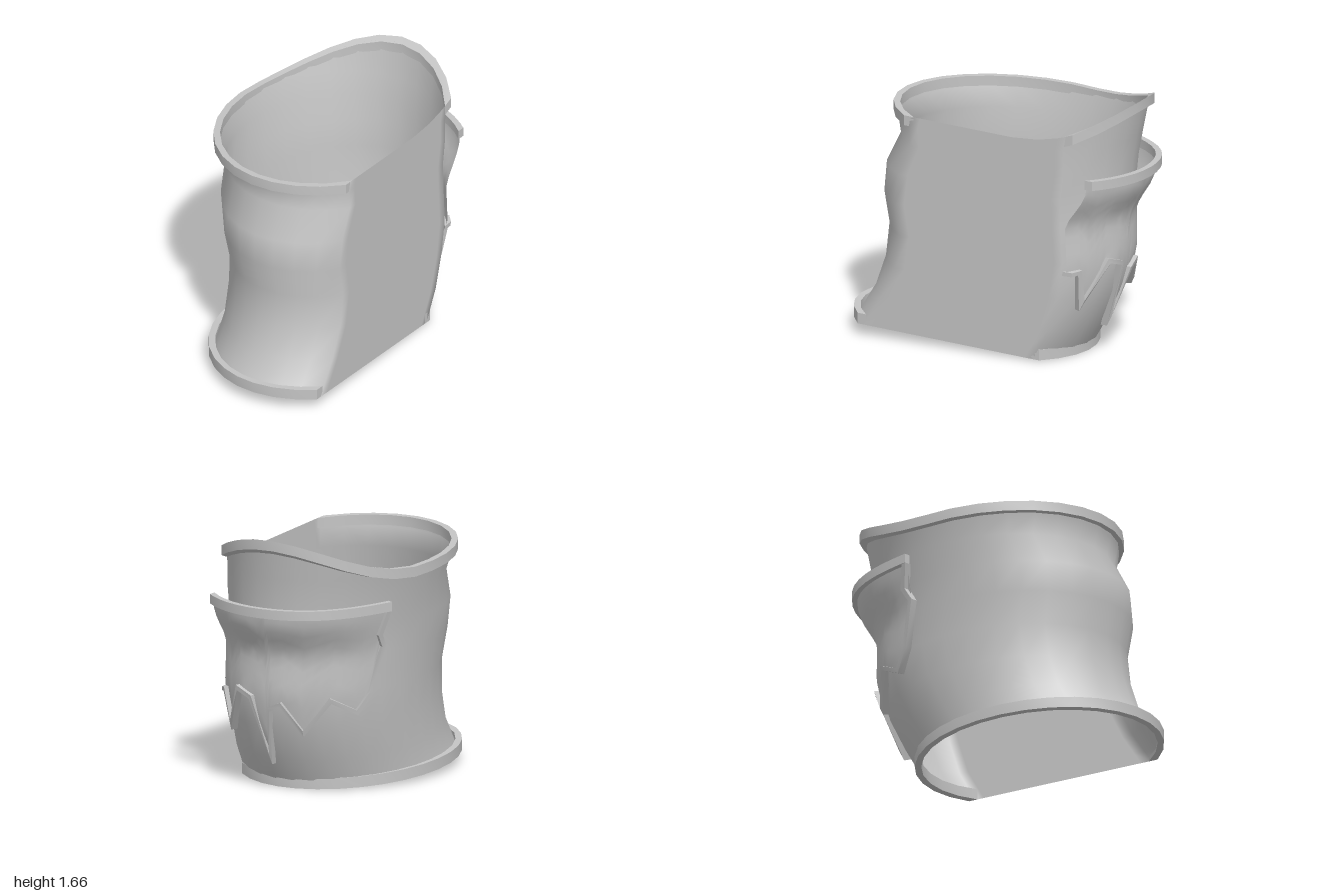
import * as THREE from 'three';
import { toCreasedNormals } from 'three/addons/utils/BufferGeometryUtils.js';

const CUT = 0.6; // plane of the flat side wall
const { lerp, smoothstep, clamp } = THREE.MathUtils;

// Body sections: front y, front z, back y, back z, left x, centre x
const ROWS = [
  [0.08, 0.97, 0.0, -0.58, -0.43, 0.2],
  [0.15, 0.93, 0.07, -0.62, -0.425, 0.2],
  [0.28, 0.85, 0.2, -0.69, -0.42, 0.2],
  [0.48, 0.79, 0.42, -0.79, -0.43, 0.18],
  [0.70, 0.77, 0.65, -0.84, -0.445, 0.17],
  [0.90, 0.81, 0.9, -0.83, -0.47, 0.16],
  [1.10, 0.80, 1.08, -0.84, -0.50, 0.14],
  [1.30, 0.70, 1.25, -0.85, -0.525, 0.13],
  [1.42, 0.73, 1.40, -0.87, -0.56, 0.11],
  [1.50, 0.735, 1.65, -0.91, -0.57, 0.1],
];
const TOP = ROWS[ROWS.length - 1];

// Height of the upper edge: nearly level, sweeping up to a peak at the back
function topY(z) {
  if (z > -0.27) return 1.45 + 0.05 * (z + 0.27);
  return 1.45 + 0.2 * Math.pow((-0.27 - z) / 0.65, 2.2);
}

const rowY = (row, z) =>
  row === TOP ? topY(z) : lerp(row[2], row[0], (z - row[3]) / (row[1] - row[3]));

// Half angle at which a section meets the flat side
const cutAngle = (row, off = 0) => Math.asin((CUT - row[5]) / (row[5] - row[4] + off));

// Point on a section; angle 0 is the back, PI/2 the rounded side, PI the front
function sectionPoint(row, angle, off = 0) {
  const [, f, , b, l, cx] = row;
  const A = cx - l + off, H = (f - b) / 2 + off;
  let x = cx - A * Math.sin(angle), c = Math.cos(angle);
  if (x > CUT) {
    x = CUT;
    c = Math.sign(c) * Math.sqrt(1 - ((CUT - cx) / A) ** 2);
  }
  return new THREE.Vector3(x, 0, (f + b) / 2 - H * c);
}

// Interpolated section at a height on the back
function rowAt(y) {
  let i = 0;
  while (i < ROWS.length - 2 && ROWS[i + 1][2] < y) i++;
  const t = (y - ROWS[i][2]) / (ROWS[i + 1][2] - ROWS[i][2]);
  return ROWS[i].map((v, k) => lerp(v, ROWS[i + 1][k], t));
}

function backPoint(angle, y, off) {
  const p = sectionPoint(rowAt(y), angle, off);
  p.y = y;
  return p;
}

// Skin between rings of points
function loft(rings, closed, caps = false) {
  const n = rings[0].length, pos = [], idx = [];
  rings.forEach(r => r.forEach(p => pos.push(p.x, p.y, p.z)));
  for (let i = 0; i < rings.length - 1; i++)
    for (let j = 0; j < (closed ? n : n - 1); j++) {
      const k = (j + 1) % n, a = i * n + j, b = i * n + k;
      idx.push(a, b, b + n, a, b + n, a + n);
    }
  if (caps) {
    const e = (rings.length - 1) * n;
    idx.push(0, 2, 1, 0, 3, 2, e, e + 1, e + 2, e, e + 2, e + 3);
  }
  const g = new THREE.BufferGeometry();
  g.setAttribute('position', new THREE.Float32BufferAttribute(pos, 3));
  g.setIndex(idx);
  g.computeVertexNormals();
  return g;
}

// Raised band around the curved part of a section
function rim(row, yAt) {
  const rings = [], N = 22;
  for (let i = 0; i <= N; i++) {
    const section = off => {
      const m = cutAngle(row, off);
      return sectionPoint(row, lerp(-m, Math.PI + m, i / N), off);
    };
    const o = section(0.03), q = section(-0.012);
    rings.push([[o, 1], [o, 0], [q, 0], [q, 1]].map(([p, s]) =>
      p.clone().setY(yAt(p.z, s))));
  }
  return toCreasedNormals(loft(rings, true, true), 0.7);
}

// Torn lower edge of the back panel: angle, height
const TORN = [[-0.78, 0.6], [-0.63, 0.61], [-0.53, 0.38], [-0.34, 0.66], [-0.15, 0.62],
  [0, 0.2], [0.05, 0.55], [0.18, 0.59], [0.38, 0.4], [0.65, 0.62], [0.88, 0.53], [1.02, 0.66]];
const SIDE = [[1.08, 0.95], [1.03, 1.03], [1.1, 1.19]];

const taper = a => 1 - smoothstep(a, 0.3, 1.15);
const panelOffset = (a, y) => 0.02 + 0.1 * smoothstep(y, 0.88, 1.15) * (0.15 + 0.85 * taper(a));

// Back panel, hanging from its upper band and bulging near the top
function panelGeometry() {
  const edge = [...TORN, [1.1, 1.17]], rings = [], columns = [];
  for (let i = 0; i < edge.length - 1; i++)
    for (let k = 0; k < 3; k++)
      columns.push([0, 1].map(c => lerp(edge[i][c], edge[i + 1][c], k / 3)));
  columns.push(edge[edge.length - 1]);
  for (let r = 0; r <= 10; r++)
    rings.push(columns.map(([a, y0]) => {
      const y = lerp(y0, 1.2, r / 10);
      return backPoint(a, y, panelOffset(a, y));
    }));
  return loft(rings, false);
}

// Raised trim that follows the torn edge, mitred at its corners
function trimGeometry() {
  const S = 0.75, w = 0.014;
  const path = [...TORN, ...SIDE].map(([a, y]) => new THREE.Vector2(a * S, y));
  const rings = path.map((p, i) => {
    const d0 = p.clone().sub(path[Math.max(i - 1, 0)]).normalize();
    const d1 = path[Math.min(i + 1, path.length - 1)].clone().sub(p).normalize();
    if (i === 0) d0.copy(d1);
    if (i === path.length - 1) d1.copy(d0);
    const n0 = new THREE.Vector2(-d0.y, d0.x), n1 = new THREE.Vector2(-d1.y, d1.x);
    const m = n0.clone().add(n1).normalize();
    m.multiplyScalar(w / clamp(m.dot(n0), 0.4, 1));
    return [[1, 0.03], [-1, 0.03], [-1, -0.015], [1, -0.015]].map(([s, out]) => {
      const a = (p.x + m.x * s) / S, y = p.y + m.y * s;
      return backPoint(a, y, panelOffset(a, y) + out);
    });
  });
  return toCreasedNormals(loft(rings, true, true), 0.5);
}

// Upper band of the back panel
function bandGeometry() {
  const rings = [], N = 16;
  for (let i = 0; i <= N; i++) {
    const a = lerp(-0.66, 1.12, i / N);
    const off = 0.02 + 0.1 * (0.15 + 0.85 * taper(a));
    const lift = 0.025 * (1 - Math.cos(a));
    rings.push([[0.03, 1.23], [0.03, 1.17], [-0.01, 1.17], [-0.01, 1.23]].map(([o, y]) => {
      const p = backPoint(a, 1.2, off + o);
      p.y = y + lift;
      return p;
    }));
  }
  return toCreasedNormals(loft(rings, true, true), 0.7);
}

// Curved shell closed by the flat side wall
function bodyGeometry() {
  const N = 22;
  return loft(ROWS.map(row => {
    const m = cutAngle(row), ring = [];
    for (let i = 0; i <= N; i++)
      ring.push(sectionPoint(row, lerp(-m, Math.PI + m, i / N)));
    const front = ring[N], back = ring[0];
    for (const t of [0.06, 0.25, 0.45, 0.65, 0.82, 0.95])
      ring.push(front.clone().lerp(back, t));
    ring.forEach(p => { p.y = rowY(row, p.z); });
    return ring;
  }), true);
}

export function createModel() {
  const group = new THREE.Group();
  const grey = new THREE.MeshStandardMaterial({ color: 0xc4c4c4, side: THREE.DoubleSide });
  grey.name = 'light grey';
  const add = (name, geometry) => {
    const mesh = new THREE.Mesh(geometry, grey);
    mesh.name = name;
    group.add(mesh);
  };
  add('body', bodyGeometry());
  add('topRim', rim(TOP, (z, s) => topY(z) - 0.065 * (1 - s)));
  add('bottomRim', rim(ROWS[0], (z, s) => rowY(ROWS[0], z) + 0.07 * s));
  add('backPanel', panelGeometry());
  add('backPanelTrim', trimGeometry());
  add('backPanelBand', bandGeometry());
  return group;
}
